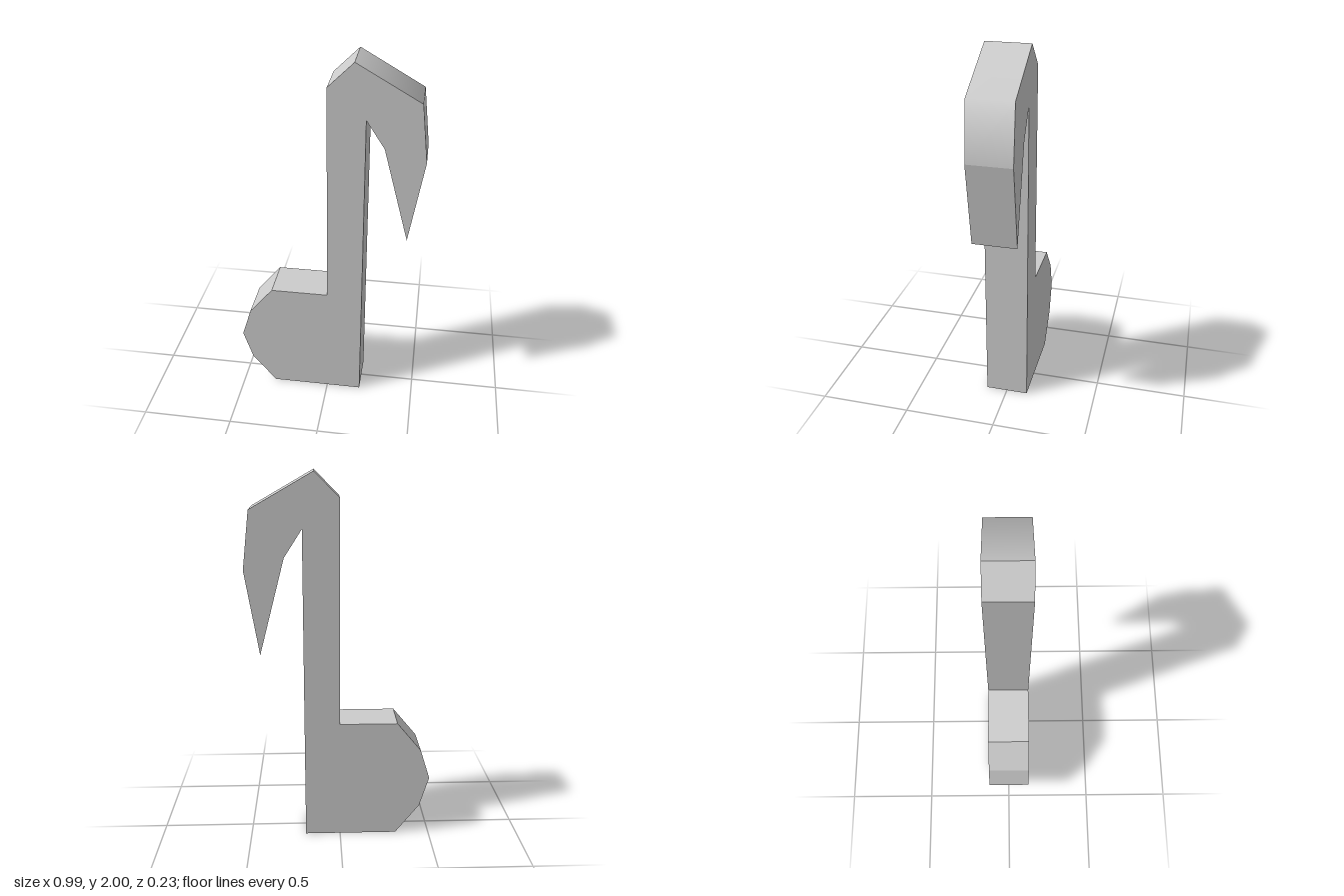
import * as THREE from 'three';

const DEPTH = 0.235;

// Outline, counter-clockwise from the bottom of the stem
const stemRight = [[0.193, 0], [0.193, 1.715]];
const flag = [[0.287, 1.57], [0.421, 1.057], [0.496, 1.507], [0.461, 1.813], [0.132, 2]];
const stemLeft = [[0, 1.87], [0, 0.66]];
const head = [[-0.314, 0.66], [-0.446, 0.5], [-0.498, 0.333], [-0.446, 0.166], [-0.314, 0]];

// Blend the side normals of the two faces meeting at one outline corner
function smoothCorner(geometry, [x, y]) {
  const { position, normal } = geometry.attributes;
  const sum = new THREE.Vector3();
  const corners = [];
  for (let i = 0; i < position.count; i++) {
    const near = Math.hypot(position.getX(i) - x, position.getY(i) - y) < 1e-4;
    if (near && Math.abs(normal.getZ(i)) < 0.5) {
      corners.push(i);
      sum.add(new THREE.Vector3().fromBufferAttribute(normal, i));
    }
  }
  sum.normalize();
  for (const i of corners) normal.setXYZ(i, sum.x, sum.y, sum.z);
}

export function createModel() {
  const outline = [...stemRight, ...flag, ...stemLeft, ...head];
  const shape = new THREE.Shape(outline.map(([x, y]) => new THREE.Vector2(x, y)));
  const geometry = new THREE.ExtrudeGeometry(shape, { depth: DEPTH, bevelEnabled: false });
  geometry.translate(0, 0, -DEPTH / 2);

  // The outer shoulder of the flag is softly shaded
  smoothCorner(geometry, flag[3]);

  const note = new THREE.Mesh(geometry, new THREE.MeshStandardMaterial({ color: 0xcccccc }));
  note.name = 'musicNote';

  const group = new THREE.Group();
  group.name = 'eighthNote';
  group.add(note);
  return group;
}
